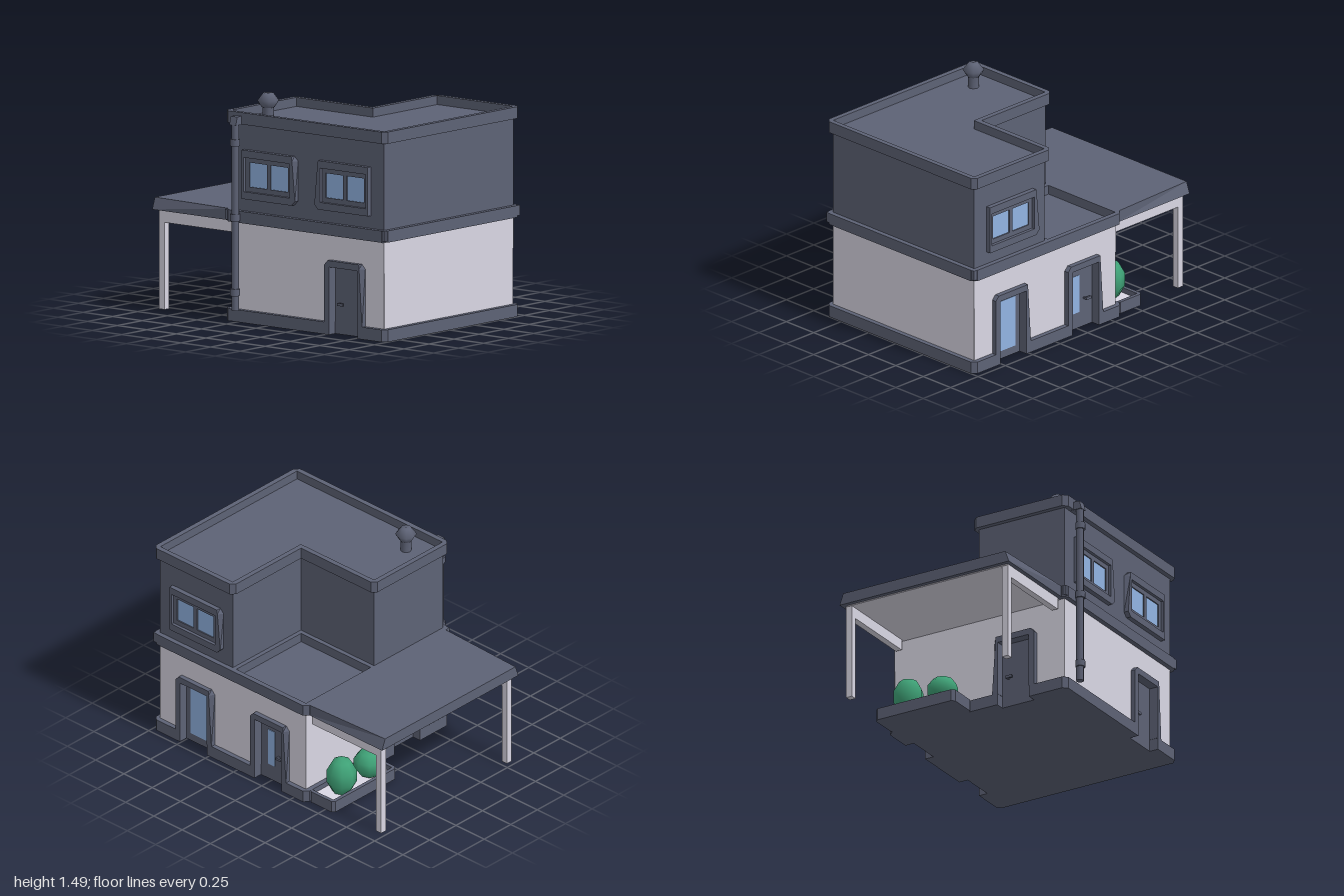
import * as THREE from 'three';

const material = (name, color) => {
  const m = new THREE.MeshStandardMaterial({ color });
  m.name = name;
  return m;
};

export function createModel() {
  const slate = material('slate', 0x5d6275);
  const plaster = material('pale plaster', 0xd9d7e4);
  const glass = material('window glass', 0x92b4e3);
  const leaf = material('leaf green', 0x3fa277);

  const house = new THREE.Group();
  house.name = 'house';

  const add = (parent, name, geometry, mat, x = 0, y = 0, z = 0) => {
    const mesh = new THREE.Mesh(geometry, mat);
    mesh.name = name;
    mesh.position.set(x, y, z);
    parent.add(mesh);
    return mesh;
  };
  const box = (parent, name, mat, [x0, x1], [y0, y1], [z0, z1]) =>
    add(parent, name, new THREE.BoxGeometry(x1 - x0, y1 - y0, z1 - z0), mat,
      (x0 + x1) / 2, (y0 + y1) / 2, (z0 + z1) / 2);

  // Outlines run counter-clockwise and holes clockwise, so all faces point outward
  const wind = (points, clockwise) => {
    const v = points.map(([x, y]) => new THREE.Vector2(x, y));
    return THREE.ShapeUtils.isClockWise(v) === clockwise ? v : v.reverse();
  };
  const toShape = (points, holes = []) => {
    const shape = new THREE.Shape(wind(points, false));
    for (const h of holes) shape.holes.push(new THREE.Path(wind(h, true)));
    return shape;
  };
  const extrude = (shape, depth) => new THREE.ExtrudeGeometry(shape, { depth, bevelEnabled: false });
  const rect = (x0, x1, y0, y1) => [[x0, y0], [x1, y0], [x1, y1], [x0, y1]];

  // Floor plan given as [x, z], raised from y0 to y1
  const flip = (pts) => pts.map(([x, z]) => [x, -z]);
  const slab = (name, mat, plan, y0, y1, hole) => {
    const g = extrude(toShape(flip(plan), hole ? [flip(hole)] : []), y1 - y0);
    g.rotateX(-Math.PI / 2);
    return add(house, name, g, mat, 0, y0, 0);
  };

  // Cuts the outward corners of a counter-clockwise plan
  const chamfer = (pts, c) => pts.flatMap((p, i) => {
    const a = pts[(i + pts.length - 1) % pts.length], b = pts[(i + 1) % pts.length];
    const cross = (p[0] - a[0]) * (b[1] - p[1]) - (p[1] - a[1]) * (b[0] - p[0]);
    if (cross < 0) return [p];
    return [a, b].map((q) => {
      const d = Math.hypot(q[0] - p[0], q[1] - p[1]);
      return [p[0] + (q[0] - p[0]) * c / d, p[1] + (q[1] - p[1]) * c / d];
    });
  });

  // Plans, e is how far the outline stands out from the walls
  const X0 = -0.326, X1 = 0.965, Z0 = -0.68, Z1 = 0.61;
  const fullPlan = (e) => rect(X0 - e, X1 + e, Z0 - e, Z1 + e);
  const upperPlan = (e) => [[X0 - e, -0.038 - e], [0.322 - e, -0.038 - e], [0.322 - e, Z0 - e],
    [X1 + e, Z0 - e], [X1 + e, Z1 + e], [X0 - e, Z1 + e]];

  // Ground plan with recesses for the four doors, c cuts the corners
  const doorPlan = (e, c) => {
    const [l, r, b, f] = [X0 - e, X1 + e, Z0 - e, Z1 + e];
    const w = 0.12, d = 0.04;
    const back = (x) => [[x + w, b], [x + w, Z0 + d], [x - w, Z0 + d], [x - w, b]];
    return [[l + c, f], [0.645 - w, f], [0.645 - w, Z1 - d], [0.645 + w, Z1 - d], [0.645 + w, f],
      [r - c, f], [r, f - c], [r, b + c], [r - c, b], ...back(0.64), ...back(-0.02), [l + c, b], [l, b + c],
      [l, 0.24 - w], [X0 + d, 0.24 - w], [X0 + d, 0.24 + w], [l, 0.24 + w], [l, f - c]];
  };

  // Plinth, storeys, sunken terrace and parapets
  slab('plinth', slate, doorPlan(0.033, 0.03), 0, 0.08);
  slab('lowerWalls', plaster, doorPlan(0, 0.001), 0.08, 0.445);
  slab('lowerWallsTop', plaster, fullPlan(0), 0.445, 0.655);
  slab('middleBand', slate, chamfer(fullPlan(0.033), 0.03), 0.65, 0.727, fullPlan(-0.002));
  slab('terraceFloor', slate, fullPlan(0), 0.652, 0.665);
  slab('terraceKerb', slate, upperPlan(0.03), 0.66, 0.727);
  slab('upperWalls', slate, upperPlan(0), 0.72, 1.315);
  slab('roofParapet', slate, chamfer(upperPlan(0.033), 0.03), 1.297, 1.374, upperPlan(-0.002));

  // Slopes the upper front corner of a frame on one side
  const slopeSide = (g, side, x, y, shift) => {
    const p = g.attributes.position;
    for (let i = 0; i < p.count; i++) {
      if (p.getZ(i) > 0.01 && p.getX(i) * side > x && p.getY(i) > y) p.setX(i, p.getX(i) - side * shift);
    }
    g.computeVertexNormals();
    return g;
  };

  const place = (name, x, y, z, turn) => {
    const g = new THREE.Group();
    g.name = name;
    g.position.set(x, y, z);
    g.rotation.y = turn;
    house.add(g);
    return g;
  };

  // Doors: frame lining the recess, leaf, optional pane and lever handle
  const door = (name, x, z, turn, side, handleX, pane) => {
    const d = place(name, x, 0, z, turn);
    const arch = [[-0.16, 0.08], [-0.118, 0.08], [-0.118, 0.443], [0.118, 0.443], [0.118, 0.08],
      [0.16, 0.08], [0.16, 0.455], [0.132, 0.485], [-0.132, 0.485], [-0.16, 0.455]];
    add(d, 'doorFrame', slopeSide(extrude(toShape(arch), 0.033), side, 0.15, 0.4, 0.025), slate);
    const lining = [[-0.12, 0.08], [-0.118, 0.08], [-0.118, 0.443], [0.118, 0.443], [0.118, 0.08],
      [0.12, 0.08], [0.12, 0.445], [-0.12, 0.445]];
    add(d, 'doorLining', extrude(toShape(lining), 0.04), slate, 0, 0, -0.04);
    box(d, 'doorLeaf', slate, [-0.12, 0.12], [0, 0.445], [-0.045, -0.03]);
    if (pane) box(d, 'doorPane', glass, pane[0], pane[1], [-0.032, -0.027]);
    if (handleX !== null) {
      box(d, 'handleStem', slate, [handleX - 0.022, handleX - 0.01], [0.192, 0.204], [-0.031, -0.005]);
      box(d, 'handleLever', slate, [handleX - 0.022, handleX + 0.022], [0.19, 0.208], [-0.01, 0.002]);
    }
  };
  door('frontDoor', 0.645, Z1, 0, 1, -0.055, null);
  door('backGlassDoor', 0.64, Z0, Math.PI, 1, null, [[-0.08, 0.08], [0.055, 0.405]]);
  door('backDoor', -0.02, Z0, Math.PI, 1, 0.06, [[-0.055, 0.003], [0.11, 0.37]]);
  door('sideDoor', X0, 0.24, -Math.PI / 2, -1, -0.055, null);

  // Windows: surround, inner frame and two panes, side is the sloped side
  const hood = (name, x, z, turn, side) => {
    const w = place(name, x, 0.97, z, turn);
    const s = -0.015 * side;
    const outer = [[-0.225, -0.16], [0.195, -0.16], [0.225, -0.13], [0.225, 0.13], [0.195, 0.16], [-0.225, 0.16]]
      .map(([px, py]) => [px * side, py]);
    const opening = rect(s - 0.193, s + 0.193, -0.112, 0.112);
    add(w, 'windowSurround', slopeSide(extrude(toShape(outer, [opening]), 0.033), side, 0.2, 0.1, 0.025), slate);
    const panes = [-0.0885, 0.0885].map((c) => [s + c - 0.074, s + c + 0.074]);
    const holes = panes.map(([a, b]) => rect(a, b, -0.08, 0.08));
    add(w, 'windowFrame', extrude(toShape(opening, holes), 0.012), slate);
    for (const p of panes) box(w, 'windowPane', glass, p, [-0.08, 0.08], [0, 0.004]);
  };
  hood('frontRightWindow', 0.013, Z1, 0, 1);
  hood('frontLeftWindow', 0.627, Z1, 0, -1);
  hood('backWindow', 0.627, Z0, Math.PI, 1);

  // Carport roof with a narrower outer top edge, pale ceiling, beams and posts
  const carport = box(house, 'carportRoof', slate, [-1, -0.34], [0.65, 0.727], [-0.68, 0.605]);
  const cp = carport.geometry.attributes.position;
  for (let i = 0; i < cp.count; i++) {
    if (cp.getX(i) < 0 && cp.getY(i) > 0) cp.setZ(i, cp.getZ(i) - Math.sign(cp.getZ(i)) * 0.028);
  }
  carport.geometry = carport.geometry.toNonIndexed();
  carport.geometry.computeVertexNormals();
  box(house, 'carportCeiling', plaster, [-0.97, -0.33], [0.643, 0.65], [-0.64, 0.57]);
  for (const z of [-0.63, 0.555]) {
    box(house, 'carportBeam', plaster, [-0.965, -0.355], [0.57, 0.649], [z - 0.022, z + 0.022]);
    box(house, 'carportPost', plaster, [-0.965, -0.92], [0, 0.57], [z - 0.022, z + 0.022]);
  }

  // Planter and bushes
  slab('planterRim', slate, chamfer(rect(-0.57, -0.35, -0.68, -0.08), 0.02), 0, 0.08,
    rect(-0.545, -0.36, -0.655, -0.105));
  box(house, 'planterBase', slate, [-0.56, -0.35], [0, 0.02], [-0.67, -0.09]);
  box(house, 'planterSoil', plaster, [-0.55, -0.35], [0.02, 0.045], [-0.66, -0.1]);
  const bush = (y, z, rx, ry) => add(house, 'bush',
    new THREE.SphereGeometry(1, 8, 5).scale(rx, ry, rx), leaf, -0.463, y, z);
  bush(0.155, -0.49, 0.103, 0.137);
  bush(0.14, -0.23, 0.107, 0.1);

  // Drainpipe with collars and a sloped outlet at the roof
  add(house, 'drainpipe', new THREE.CylinderGeometry(0.025, 0.025, 1.22, 8), slate, -0.24, 0.69, 0.674);
  for (const y of [0.2, 0.69, 1.18]) {
    add(house, 'pipeCollar', new THREE.CylinderGeometry(0.033, 0.033, 0.045, 8), slate, -0.24, y, 0.677);
  }
  const outlet = extrude(toShape([[0.62, 1.295], [0.7, 1.295], [0.686, 1.35], [0.62, 1.35]]), 0.054);
  outlet.rotateY(-Math.PI / 2);
  add(house, 'pipeOutlet', outlet, slate, -0.213, 0, 0);

  // Roof vent
  const vent = [[0.036, 1.31], [0.036, 1.392], [0.042, 1.392], [0.07, 1.437], [0.034, 1.485], [0, 1.485]]
    .map(([r, y]) => new THREE.Vector2(r, y));
  add(house, 'roofVent', new THREE.LatheGeometry(vent, 8), slate, -0.153, 0, 0.447);

  return house;
}
